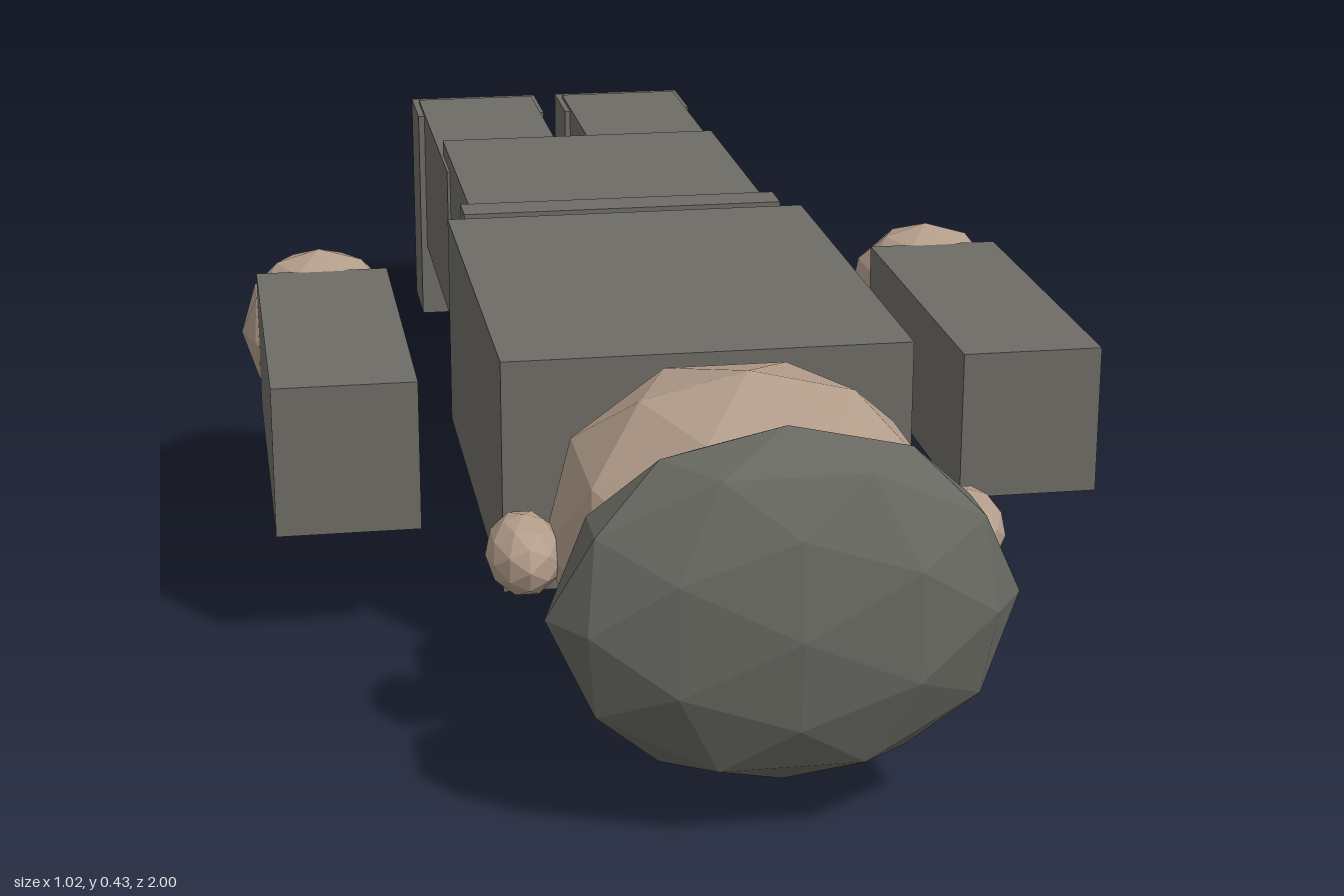
import * as THREE from 'three';

// Blocky low-poly figure lying face down: head toward +z, face toward -y.
export function createModel() {
  const group = new THREE.Group();

  const material = (name, color) => {
    const m = new THREE.MeshStandardMaterial({ color });
    m.name = name;
    return m;
  };
  const cloth = material('clothGrey', 0x6e6c66);
  const capGrey = material('capGrey', 0x686862);
  const skin = material('skin', 0xb39d8b);

  const add = (name, geometry, mat) => {
    const mesh = new THREE.Mesh(geometry, mat);
    mesh.name = name;
    group.add(mesh);
  };

  // Box given by its extents on each axis
  const box = (name, mat, [x0, x1], [y0, y1], [z0, z1]) => {
    const g = new THREE.BoxGeometry(x1 - x0, y1 - y0, z1 - z0);
    g.translate((x0 + x1) / 2, (y0 + y1) / 2, (z0 + z1) / 2);
    add(name, g, mat);
  };

  // Faceted ellipsoid; normals are recomputed so every face stays flat
  const ball = (name, mat, centre, radii) => {
    const g = new THREE.IcosahedronGeometry(1, 1);
    g.scale(...radii);
    g.translate(...centre);
    g.computeVertexNormals();
    add(name, g, mat);
  };

  // Body
  box('torso', cloth, [-0.237, 0.237], [0.097, 0.373], [-0.14, 0.475]);
  box('belt', cloth, [-0.213, 0.213], [0.089, 0.373], [-0.215, -0.161]);
  box('pelvis', cloth, [-0.2, 0.2], [0.13, 0.367], [-0.605, -0.13]);

  // Head and cap
  ball('head', skin, [0, 0.237, 0.7], [0.22, 0.187, 0.26]);
  ball('cap', capGrey, [0, 0.241, 0.9], [0.243, 0.191, 0.1]);
  ball('nose', skin, [0, 0.025, 0.705], [0.023, 0.024, 0.024]);
  box('mouth', capGrey, [-0.038, 0.038], [0.036, 0.045], [0.643, 0.658]);

  // Paired parts
  for (const [side, s] of [['left', 1], ['right', -1]]) {
    const span = (a, b) => (s > 0 ? [a, b] : [-b, -a]);
    ball(side + 'Ear', skin, [s * 0.24, 0.236, 0.705], [0.041, 0.043, 0.062]);
    ball(side + 'Eye', capGrey, [s * 0.075, 0.053, 0.76], [0.023, 0.017, 0.03]);
    box(side + 'Arm', cloth, span(0.322, 0.49), [0.145, 0.325], [-0.09, 0.385]);
    ball(side + 'Hand', skin, [s * 0.407, 0.235, -0.131], [0.104, 0.108, 0.104]);
    box(side + 'Leg', cloth, span(0.025, 0.204), [0.13, 0.346], [-0.97, -0.5]);
    box(side + 'Boot', cloth, span(0.017, 0.213), [0.022, 0.341], [-1, -0.875]);
  }

  return group;
}
